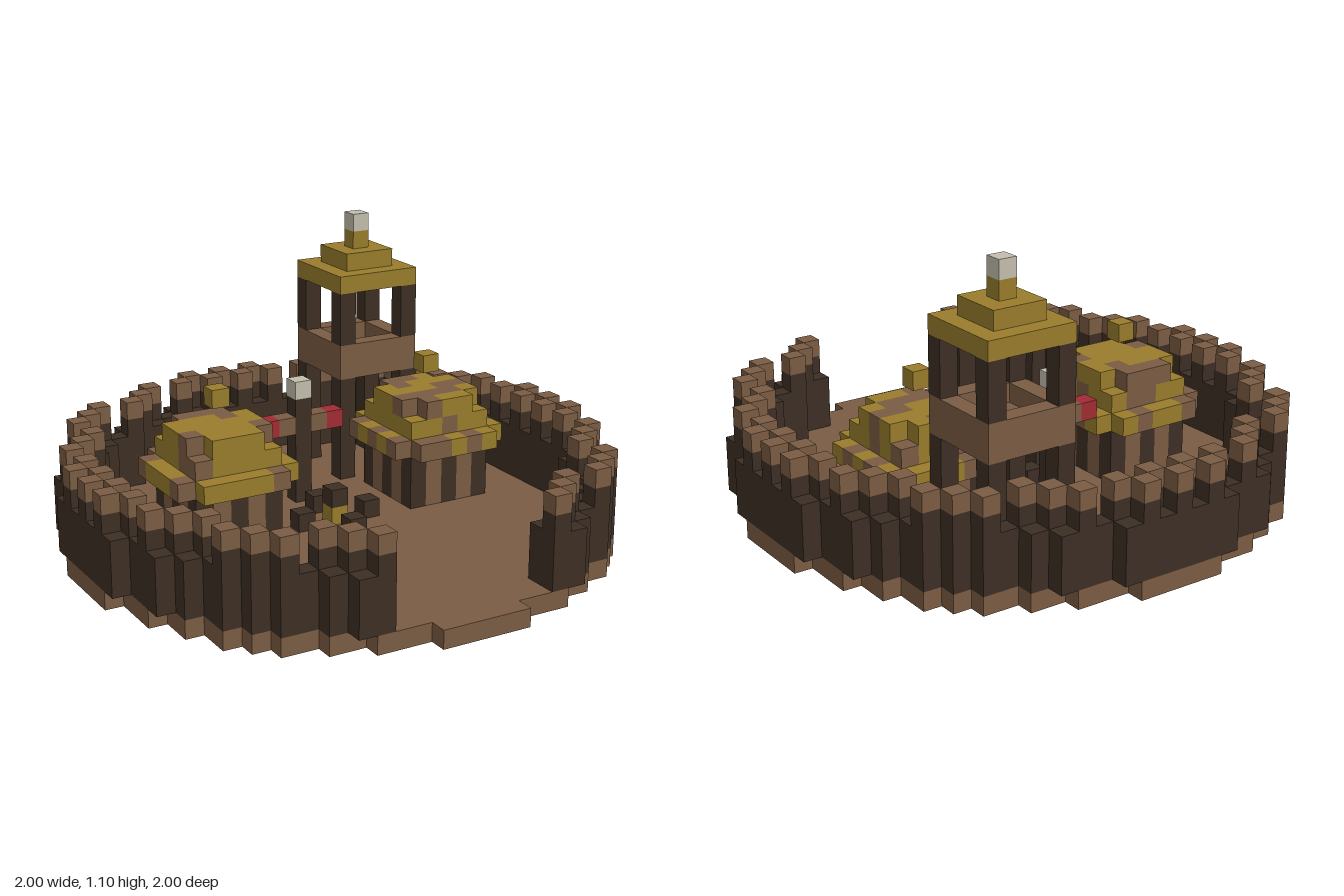
import * as THREE from 'three';
import { mergeGeometries } from 'three/addons/utils/BufferGeometryUtils.js';

const U = 2 / 29; // edge of one cube

export function createModel() {
  const model = new THREE.Group();
  model.name = 'village';
  const mat = (name, color) => {
    const m = new THREE.MeshStandardMaterial({ color });
    m.name = name;
    return m;
  };
  const wood = mat('wood', 0x7a5c43);
  const darkWood = mat('darkWood', 0x3c2e24);
  const straw = mat('straw', 0x987c2c);
  const bone = mat('bone', 0xc2bdac);
  const red = mat('red', 0xa02c32);

  // Box spanning whole cells, both ends included
  const box = (x0, x1, y0, y1, z0, z1) => {
    const g = new THREE.BoxGeometry((x1 - x0 + 1) * U, (y1 - y0 + 1) * U, (z1 - z0 + 1) * U);
    return g.translate((x0 + x1) / 2 * U, (y0 + y1 + 1) / 2 * U, (z0 + z1) / 2 * U);
  };
  const cell = (x, y, z) => box(x, x, y, y, z, z);
  const column = (x, y0, y1, z) => box(x, x, y0, y1, z, z);
  const add = (parent, name, material, boxes) => {
    const mesh = new THREE.Mesh(mergeGeometries(boxes), material);
    mesh.name = name;
    parent.add(mesh);
  };
  const group = (name) => {
    const g = new THREE.Group();
    g.name = name;
    model.add(g);
    return g;
  };
  // Calls fn for every cell offset of a disc
  const disc = (limit, fn) => {
    const r = Math.floor(Math.sqrt(limit));
    for (let z = -r; z <= r; z++)
      for (let x = -r; x <= r; x++) if (x * x + z * z <= limit) fn(x, z, x * x + z * z);
  };

  // Round ground, one slab per row
  const ground = [];
  for (let z = -14; z <= 14; z++) {
    const w = Math.floor(Math.sqrt(202 - z * z));
    ground.push(box(-w, w, 0, 0, z, z));
  }
  add(model, 'ground', wood, ground);

  // Palisade of alternating stakes with a gate at the front
  const palisade = group('palisade');
  const stakes = [], caps = [];
  disc(206, (x, z, d) => {
    if (d < 165 || (z > 0 && Math.abs(x) <= 4)) return;
    const tall = (x + z) % 2 === 0;
    stakes.push(column(x, 1, tall ? 4 : 3, z));
    if (tall) caps.push(cell(x, 5, z));
  });
  add(palisade, 'stakes', darkWood, stakes);
  add(palisade, 'stakeCaps', wood, caps);

  // Watchtower
  const tower = group('watchtower');
  const tx = 6, tz = -8;
  const posts = [];
  for (const dx of [-2, 2])
    for (const dz of [-2, 2]) {
      posts.push(column(tx + dx, 1, 6, tz + dz), column(tx + dx, 9, 11, tz + dz));
    }
  add(tower, 'posts', darkWood, posts);
  add(tower, 'platform', wood, [
    box(tx - 2, tx + 2, 7, 7, tz - 2, tz + 2),
    box(tx - 2, tx + 2, 8, 8, tz - 2, tz - 2),
    box(tx - 2, tx + 2, 8, 8, tz + 2, tz + 2),
    box(tx - 2, tx - 2, 8, 8, tz - 1, tz + 1),
    box(tx + 2, tx + 2, 8, 8, tz - 1, tz + 1),
  ]);
  add(tower, 'roof', straw, [2, 1, 0].map((r, i) =>
    box(tx - r, tx + r, 12 + i, 12 + i, tz - r, tz + r)));
  add(tower, 'finial', bone, [cell(tx, 15, tz)]);

  // Round huts with patchy thatch and a floating top block
  const patch = (x, y, z) => {
    const s = Math.sin(x * 12.99 + y * 37.72 + z * 78.23) * 43758.55;
    return s - Math.floor(s) < 0.38;
  };
  const hut = (name, cx, cz) => {
    const g = group(name);
    const light = [], dark = [], thatch = [], bare = [];
    disc(8, (x, z, d) => {
      if (d > 2) ((x + z) % 2 ? light : dark).push(column(cx + x, 1, 3, cz + z));
    });
    [13, 8, 5].forEach((limit, i) => disc(limit, (x, z) => {
      const c = cell(cx + x, 4 + i, cz + z);
      (patch(cx + x, i, cz + z) ? bare : thatch).push(c);
    }));
    thatch.push(cell(cx, 8, cz));
    add(g, 'lightWallPosts', wood, light);
    add(g, 'darkWallPosts', darkWood, dark);
    add(g, 'thatch', straw, thatch);
    add(g, 'bareRoof', wood, bare);
  };
  hut('rightHut', -6, -2);
  hut('leftHut', 7, -2);

  // Totem with red-tipped arms
  const totem = group('totem');
  add(totem, 'pole', darkWood, [column(0, 1, 6, -4)]);
  add(totem, 'head', bone, [cell(0, 7, -4)]);
  add(totem, 'arms', wood, [cell(-1, 5, -4), cell(1, 5, -4)]);
  add(totem, 'armTips', red, [cell(-2, 5, -4), cell(2, 5, -4)]);

  // Campfire ringed by logs
  const fire = group('campfire');
  add(fire, 'logs', darkWood,
    [cell(-2, 1, 0), cell(2, 1, 0), cell(0, 1, -2), cell(0, 1, 2), cell(0, 2, 0)]);
  add(fire, 'embers', straw, [cell(0, 1, 0)]);

  return model;
}
